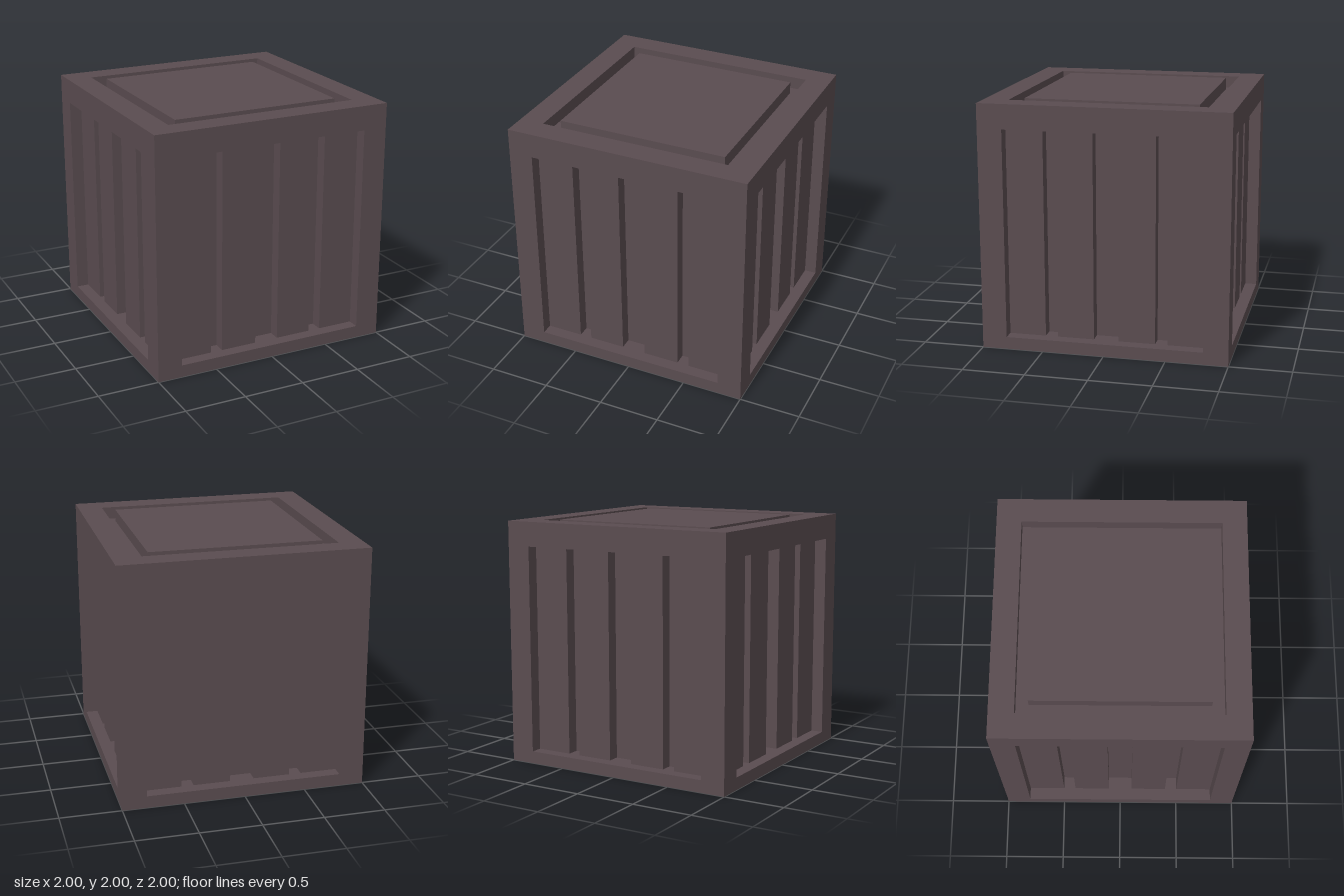
import * as THREE from 'three';

const wood = new THREE.MeshStandardMaterial({ color: 0x5a4c50 });
wood.name = 'darkWood';

function part(name, geometry, x = 0, y = 0, z = 0) {
  const mesh = new THREE.Mesh(geometry, wood);
  mesh.name = name;
  mesh.position.set(x, y, z);
  return mesh;
}

function rectangle(PathType, x, y0, y1) {
  return new PathType([[-x, y0], [x, y0], [x, y1], [-x, y1]].map(p => new THREE.Vector2(...p)));
}

// Side frame with an opening; its ends are mitred so four meet at the corners
function frameGeometry() {
  const shape = rectangle(THREE.Shape, 1, 0, 2);
  shape.holes.push(rectangle(THREE.Path, 0.8, 0.1, 1.8));
  const geometry = new THREE.ExtrudeGeometry(shape, { depth: 0.2, bevelEnabled: false });
  geometry.translate(0, 0, 0.8);
  const pos = geometry.attributes.position;
  for (let i = 0; i < pos.count; i++) {
    if (pos.getZ(i) < 0.9 && Math.abs(pos.getX(i)) > 0.9) pos.setX(i, 0.8 * Math.sign(pos.getX(i)));
  }
  geometry.computeVertexNormals();
  return geometry;
}

export function createModel() {
  const crate = new THREE.Group();
  crate.name = 'crate';

  // Inner box: seen in the grooves, under the crate and in the channel around the lid
  crate.add(part('core', new THREE.BoxGeometry(1.6, 1.9, 1.6), 0, 0.95, 0));

  // Raised lid panel, level with the rim
  crate.add(part('lidPanel', new THREE.BoxGeometry(1.4, 0.1, 1.4), 0, 1.95, 0));

  // Four equal sides: a frame around four recessed slats
  const frame = frameGeometry();
  const slat = new THREE.BoxGeometry(0.3, 1.7, 0.1);
  ['front', 'left', 'back', 'right'].forEach((name, i) => {
    const side = new THREE.Group();
    side.name = name + 'Side';
    side.add(part('frame', frame));
    for (const x of [-0.65, -0.25, 0.25, 0.65]) side.add(part('slat', slat, x, 0.95, 0.85));
    side.rotation.y = i * Math.PI / 2;
    crate.add(side);
  });

  return crate;
}
